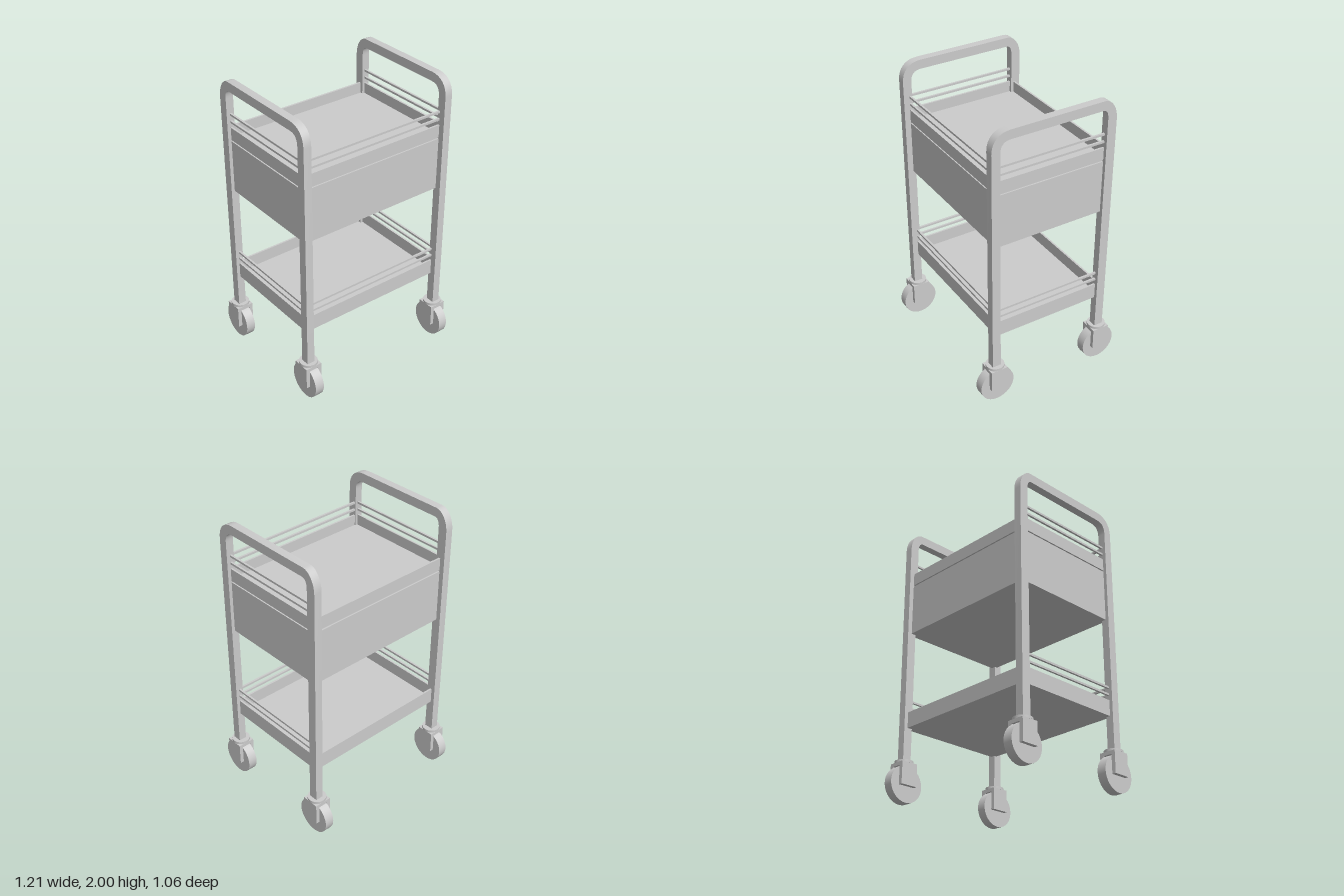
import * as THREE from 'three';
import { toCreasedNormals } from 'three/addons/utils/BufferGeometryUtils.js';

const material = new THREE.MeshStandardMaterial({ color: 0xcccccc });

function add(parent, name, geometry, x = 0, y = 0, z = 0) {
  const mesh = new THREE.Mesh(geometry, material);
  mesh.name = name;
  mesh.position.set(x, y, z);
  parent.add(mesh);
  return mesh;
}

// Box given by its lower and upper limits on each axis
function addBox(parent, name, [x0, x1], [y0, y1], [z0, z1]) {
  return add(parent, name, new THREE.BoxGeometry(x1 - x0, y1 - y0, z1 - z0),
    (x0 + x1) / 2, (y0 + y1) / 2, (z0 + z1) / 2);
}

// Upside-down U of square tube: two legs and a rounded handle
function frameGeometry(width) {
  const s = new THREE.Shape();
  s.moveTo(0.44, 0.28);
  s.lineTo(0.44, 1.87);
  s.bezierCurveTo(0.44, 1.95, 0.39, 2, 0.31, 2);
  s.lineTo(-0.35, 2);
  s.bezierCurveTo(-0.4, 2, -0.445, 1.94, -0.445, 1.86);
  s.lineTo(-0.435, 0.28);
  s.lineTo(-0.373, 0.28);
  s.lineTo(-0.38, 1.87);
  s.quadraticCurveTo(-0.38, 1.937, -0.34, 1.937);
  s.lineTo(0.31, 1.937);
  s.quadraticCurveTo(0.38, 1.937, 0.38, 1.86);
  s.lineTo(0.38, 0.28);
  s.closePath();
  const g = new THREE.ExtrudeGeometry(s, { depth: width, bevelEnabled: false, curveSegments: 8 });
  g.translate(0, 0, -width / 2);
  g.rotateY(-Math.PI / 2);
  return toCreasedNormals(g, 0.5);
}

// Shallow open tray: a floor and four thin walls
const X = 0.55, Z0 = -0.41, Z1 = 0.4, WALL = 0.013;
function addTray(parent, name, bottom, floor, top) {
  const tray = new THREE.Group();
  tray.name = name;
  addBox(tray, 'trayFloor', [-X, X], [bottom, floor], [Z0, Z1]);
  addBox(tray, 'trayFrontWall', [-X, X], [floor, top], [Z1 - WALL, Z1]);
  addBox(tray, 'trayBackWall', [-X, X], [floor, top], [Z0, Z0 + WALL]);
  for (const s of [-1, 1]) {
    const wall = addBox(tray, 'traySideWall', [X - WALL, X], [floor, top], [Z0 + WALL, Z1 - WALL]);
    wall.position.x *= s;
  }
  parent.add(tray);
}

// Pair of thin rails on the front and both sides, open at the back
function addRails(parent, heights) {
  const rails = new THREE.Group();
  rails.name = 'guardRails';
  for (const y of heights) {
    const r = 0.007;
    add(rails, 'frontRail', new THREE.BoxGeometry(1.06, 2 * r, 2 * r), 0, y, 0.393);
    for (const s of [-1, 1]) {
      add(rails, 'sideRail', new THREE.BoxGeometry(2 * r, 2 * r, 0.79), s * 0.543, y, 0);
    }
  }
  parent.add(rails);
}

// Castor: swivel disc, forked bracket and wheel
function addCastor(parent, x, z) {
  const castor = new THREE.Group();
  castor.name = 'castor';
  castor.position.set(x, 0, z);
  add(castor, 'swivelDisc', new THREE.CylinderGeometry(0.062, 0.062, 0.018, 32), 0, 0.272, 0);
  addBox(castor, 'forkTop', [-0.06, 0.06], [0.24, 0.264], [-0.061, 0.061]);
  for (const s of [-1, 1]) {
    add(castor, 'forkCheek', new THREE.BoxGeometry(0.027, 0.13, 0.122), s * 0.0465, 0.175, 0);
  }
  const wheel = new THREE.CylinderGeometry(0.124, 0.124, 0.065, 40);
  wheel.rotateZ(Math.PI / 2);
  add(castor, 'wheel', wheel, 0, 0.124, 0);
  parent.add(castor);
}

export function createModel() {
  const cart = new THREE.Group();
  cart.name = 'serviceCart';

  // Side frames and castors
  const frame = frameGeometry(0.055);
  for (const s of [-1, 1]) {
    add(cart, 'sideFrame', frame, s * 0.546);
    for (const z of [-0.406, 0.406]) addCastor(cart, s * 0.543, z);
  }

  // Upper tray above a closed drawer box, with a shadow gap between them
  addTray(cart, 'upperTray', 1.576, 1.59, 1.665);
  addBox(cart, 'drawerGap', [-X + 0.01, X - 0.01], [1.565, 1.578], [Z0 + 0.01, Z1 - 0.01]);
  addBox(cart, 'drawerBox', [-X, X], [1.2, 1.567], [Z0, Z1]);
  addRails(cart, [1.705, 1.757]);

  // Lower tray
  addTray(cart, 'lowerTray', 0.51, 0.53, 0.62);
  addRails(cart, [0.66, 0.71]);

  return cart;
}
